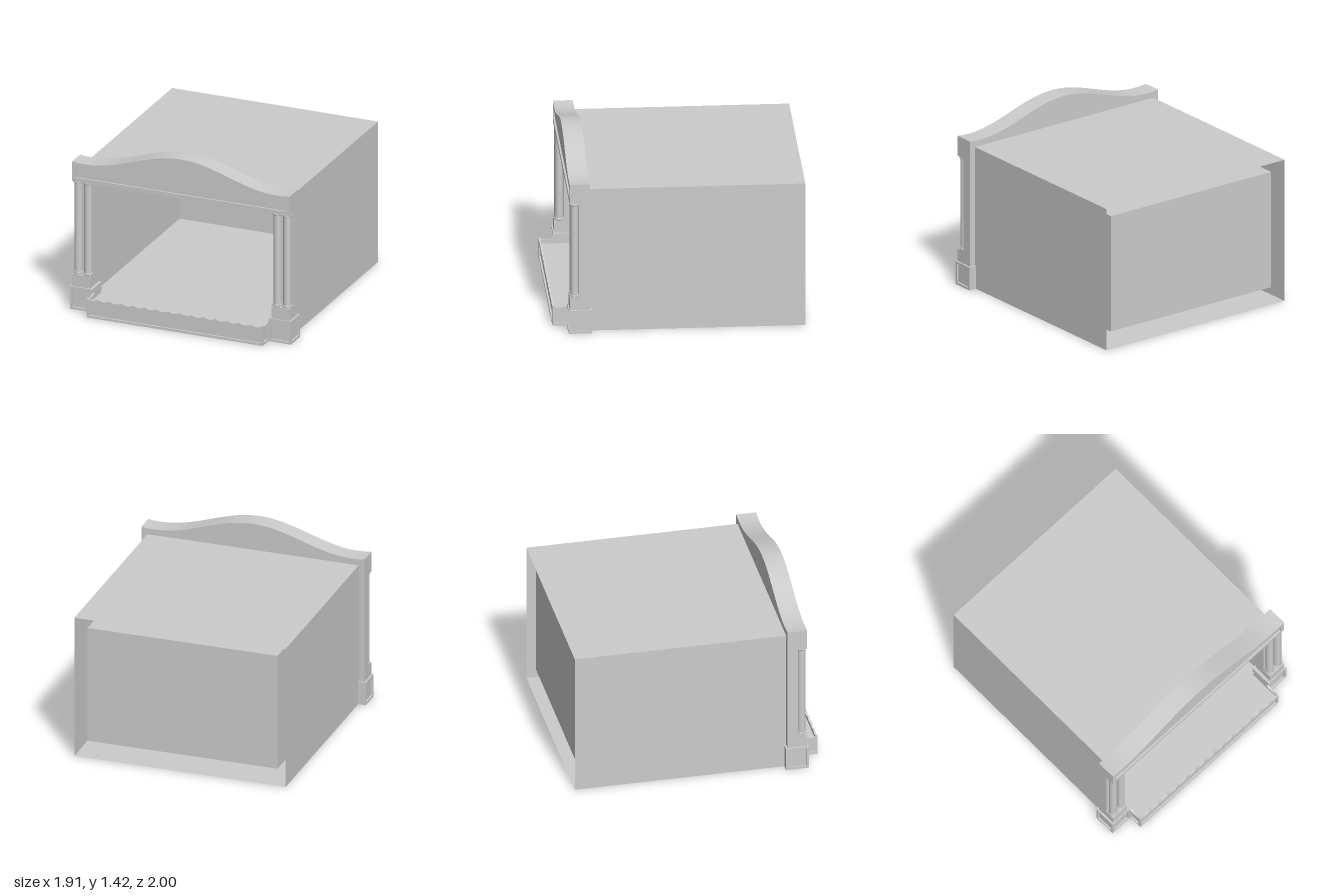
import * as THREE from 'three';

const material = new THREE.MeshStandardMaterial({ color: 0xcccccc });
const sheetMaterial = new THREE.MeshStandardMaterial({ color: 0xcccccc, side: THREE.DoubleSide });

function add(parent, name, geometry, mat = material) {
  const mesh = new THREE.Mesh(geometry, mat);
  mesh.name = name;
  parent.add(mesh);
  return mesh;
}

// Box given by its limits on each axis
function block(parent, name, x0, x1, y0, y1, z0, z1) {
  const g = new THREE.BoxGeometry(x1 - x0, y1 - y0, z1 - z0);
  g.translate((x0 + x1) / 2, (y0 + y1) / 2, (z0 + z1) / 2);
  return add(parent, name, g);
}

// Thin box shell; open lists the faces left out (0 +x, 1 -x, 2 +y, 3 -y, 4 +z, 5 -z)
function shell(parent, name, x, y0, y1, z0, z1, open) {
  const g = new THREE.BoxGeometry(2 * x, y1 - y0, z1 - z0);
  const index = Array.from(g.index.array).filter((_, i) => !open.includes(Math.floor(i / 6)));
  g.setIndex(index);
  g.clearGroups();
  g.translate(0, (y0 + y1) / 2, (z0 + z1) / 2);
  return add(parent, name, g, sheetMaterial);
}

// Upright plate with a straight bottom, a top that follows top(x), and an optional window
function plateShape(x0, x1, y0, top, steps) {
  const points = [new THREE.Vector2(x0, y0), new THREE.Vector2(x1, y0)];
  for (let i = steps; i >= 0; i--) {
    const x = x0 + (x1 - x0) * i / steps;
    points.push(new THREE.Vector2(x, top(x)));
  }
  return points;
}

function plate(outline, hole, depth) {
  const shape = new THREE.Shape(outline);
  if (hole) shape.holes.push(new THREE.Path(hole));
  return new THREE.ExtrudeGeometry(shape, { depth, bevelEnabled: false });
}

const flat = y => () => y;
const LIP = 0.015;

// Pedestal, plinth, pilaster and pair of columns on the +x side
function buildPier() {
  const pier = new THREE.Group();
  pier.name = 'pier';

  block(pier, 'pedestalCore', 0.76, 0.955 - LIP, 0, 0.195, 0.70, 0.885 - LIP);
  const front = plate(plateShape(0.76, 0.955, 0, flat(0.195), 1),
    plateShape(0.78, 0.935, 0.02, flat(0.175), 1), LIP);
  add(pier, 'pedestalFrontFrame', front).position.z = 0.885 - LIP;
  const side = plate(plateShape(-0.885 + LIP, -0.70, 0, flat(0.195), 1),
    plateShape(-0.865, -0.72, 0.02, flat(0.175), 1), LIP);
  side.rotateY(Math.PI / 2);
  add(pier, 'pedestalSideFrame', side).position.x = 0.955 - LIP;

  block(pier, 'plinth', 0.785, 0.94, 0.195, 0.30, 0.715, 0.875);
  block(pier, 'pilaster', 0.785, 0.94, 0.30, 1.09, 0.715, 0.80);

  // Shaft with a rounded ring at the foot and at the head
  const shaft = new THREE.CylinderGeometry(0.033, 0.033, 0.79, 28);
  const ringProfile = [[0, 0], [0.036, 0], [0.039, 0.004], [0.039, 0.013], [0.036, 0.017], [0, 0.017]]
    .map(([r, y]) => new THREE.Vector2(r, y));
  const ring = new THREE.LatheGeometry(ringProfile, 28);
  for (const x of [0.818, 0.902]) {
    add(pier, 'columnShaft', shaft).position.set(x, 0.695, 0.835);
    add(pier, 'columnFoot', ring).position.set(x, 0.30, 0.835);
    add(pier, 'columnHead', ring).position.set(x, 1.073, 0.835);
  }
  return pier;
}

// Mirror by flipping x and the winding, so that normals stay outward
function mirrored(group) {
  const copy = group.clone();
  copy.scale.x = -1;
  return copy;
}

export function createModel() {
  const model = new THREE.Group();
  model.name = 'toyStage';

  // Outer casing, open to the front and back, with the stage room inside
  shell(model, 'casing', 0.89, 0, 1.2, -1, 0.715, [4, 5]);
  shell(model, 'stageRoom', 0.80, 0.12, 1.10, -0.94, 0.72, [4]);

  // Side piers
  const pier = buildPier();
  model.add(pier, mirrored(pier));

  // Curved pediment with a sunken panel
  const crown = x => 1.25 + 0.0875 * (1 + Math.cos(Math.PI * x / 0.83));
  const outline = plateShape(-0.94, 0.94, 1.09, crown, 64);
  const panel = plateShape(-0.905, 0.905, 1.125, x => crown(x) - 0.035, 64);
  add(model, 'pedimentBody', plate(outline, null, 0.145)).position.z = 0.715;
  add(model, 'pedimentFrame', plate(outline, panel, LIP)).position.z = 0.86;

  // Front apron with sunken panels and a scalloped lip on three sides
  block(model, 'apronBody', -0.76 + LIP, 0.76 - LIP, 0, 0.12, 0.715, 1 - LIP);
  const scallop = (start, width) => x =>
    0.165 - 0.014 * Math.abs(Math.sin(Math.PI * (x - start) / width));
  const apronFront = plate(plateShape(-0.76, 0.76, 0, scallop(-0.76, 1.52 / 15), 120),
    plateShape(-0.74, 0.74, 0.02, flat(0.125), 1), LIP);
  add(model, 'apronFront', apronFront).position.z = 1 - LIP;
  const apronSide = plate(plateShape(-1 + LIP, -0.88, 0, scallop(-1, 0.12), 10),
    plateShape(-0.98, -0.895, 0.02, flat(0.125), 1), LIP);
  apronSide.rotateY(Math.PI / 2);
  for (const x of [0.76 - LIP, -0.76]) add(model, 'apronSide', apronSide).position.x = x;

  return model;
}
